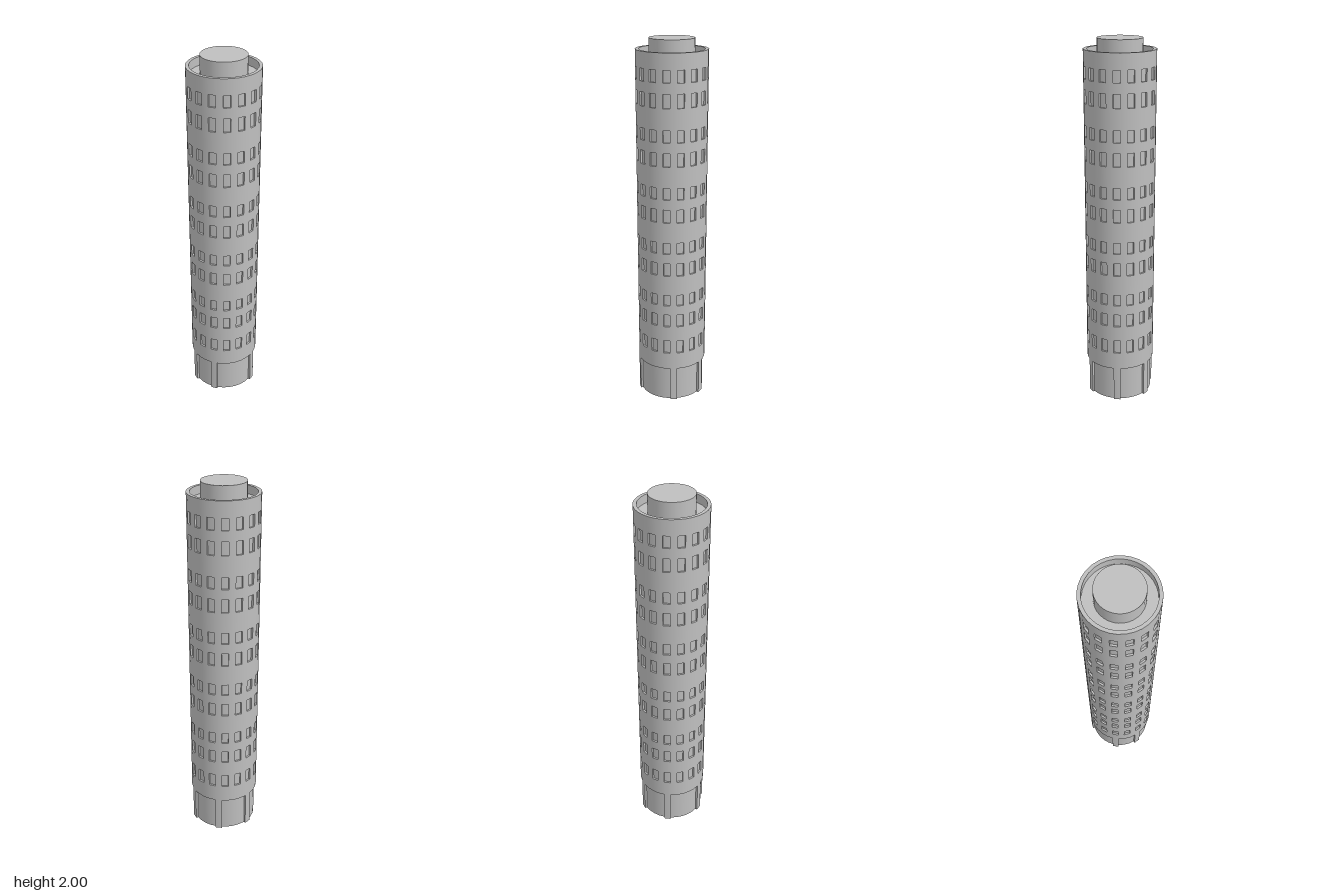
import * as THREE from 'three';

const SIDES = 32, R = 0.19, STEP = (Math.PI * 2) / SIDES;
const BASE_TOP = 0.198, WALL_TOP = 1.945, ROOF = 1.9;

const point = (r, i, y) => [r * Math.sin(i * STEP), y, r * Math.cos(i * STEP)];

// Round skin whose radius varies per side and height band; steps in radius get closing faces.
function steppedSkin(levels, radius) {
  const positions = [], normals = [];
  const quad = (corners, rounded) => {
    const [a, b, c] = corners.map((p) => new THREE.Vector3(...p));
    const flat = b.clone().sub(a).cross(c.clone().sub(a)).normalize();
    for (const k of [0, 1, 2, 0, 2, 3]) {
      const p = corners[k];
      positions.push(...p);
      const n = rounded ? new THREE.Vector3(p[0], 0, p[2]).normalize() : flat;
      normals.push(n.x, n.y, n.z);
    }
  };
  for (let b = 0; b < levels.length - 1; b++) {
    const y0 = levels[b], y1 = levels[b + 1];
    for (let i = 0; i < SIDES; i++) {
      const r = radius(i, b), prev = radius((i + SIDES - 1) % SIDES, b);
      quad([point(r, i, y0), point(r, i + 1, y0), point(r, i + 1, y1), point(r, i, y1)], true);
      if (prev !== r) {
        quad([point(prev, i, y0), point(r, i, y0), point(r, i, y1), point(prev, i, y1)], false);
      }
      const below = b > 0 ? radius(i, b - 1) : r;
      if (below !== r) {
        quad([point(below, i, y0), point(below, i + 1, y0), point(r, i + 1, y0), point(r, i, y0)], false);
      }
    }
  }
  const geometry = new THREE.BufferGeometry();
  geometry.setAttribute('position', new THREE.Float32BufferAttribute(positions, 3));
  geometry.setAttribute('normal', new THREE.Float32BufferAttribute(normals, 3));
  return geometry;
}

export function createModel() {
  const model = new THREE.Group();
  model.name = 'roundTower';
  const concrete = new THREE.MeshStandardMaterial({ color: 0xbfbfbf, side: THREE.DoubleSide });
  concrete.name = 'grey concrete';

  const add = (name, geometry, y = 0) => {
    const mesh = new THREE.Mesh(geometry, concrete);
    mesh.name = name;
    mesh.position.y = y;
    model.add(mesh);
    return mesh;
  };

  // Open ground floor: set-back wall with a few full-radius piers
  const piers = [3, 8, 13, 18, 24, 28];
  add('groundFloor', steppedSkin([0, BASE_TOP], (i) => (piers.includes(i) ? R : 0.178)));
  const ceiling = new THREE.CircleGeometry(R, SIDES);
  ceiling.rotateX(Math.PI / 2);
  add('groundFloorCeiling', ceiling, BASE_TOP);

  // Shaft: paired rows of recessed windows on every second side
  const levels = [BASE_TOP, 0.296, 0.372];
  for (let k = 4; k >= 0; k--) {
    const drop = k * 0.303;
    levels.push(1.671 - drop, 1.743 - drop, 1.798 - drop, 1.861 - drop);
  }
  levels.push(WALL_TOP);
  add('shaftWithWindows', steppedSkin(levels, (i, b) => (i % 2 === 0 && b % 2 === 1 ? R - 0.01 : R)));

  // Parapet rim, its inner face and the sunken roof
  const rim = new THREE.RingGeometry(0.172, R, SIDES, 1);
  rim.rotateX(-Math.PI / 2);
  add('parapetRim', rim, WALL_TOP);
  const inner = new THREE.CylinderGeometry(0.172, 0.172, WALL_TOP - ROOF, SIDES, 1, true);
  add('parapetInside', inner, (WALL_TOP + ROOF) / 2);
  const roof = new THREE.CircleGeometry(0.172, SIDES);
  roof.rotateX(-Math.PI / 2);
  add('roof', roof, ROOF);

  // Round plant room on the roof
  add('plantRoom', new THREE.CylinderGeometry(0.119, 0.119, 2 - ROOF, SIDES), (2 + ROOF) / 2);

  return model;
}
